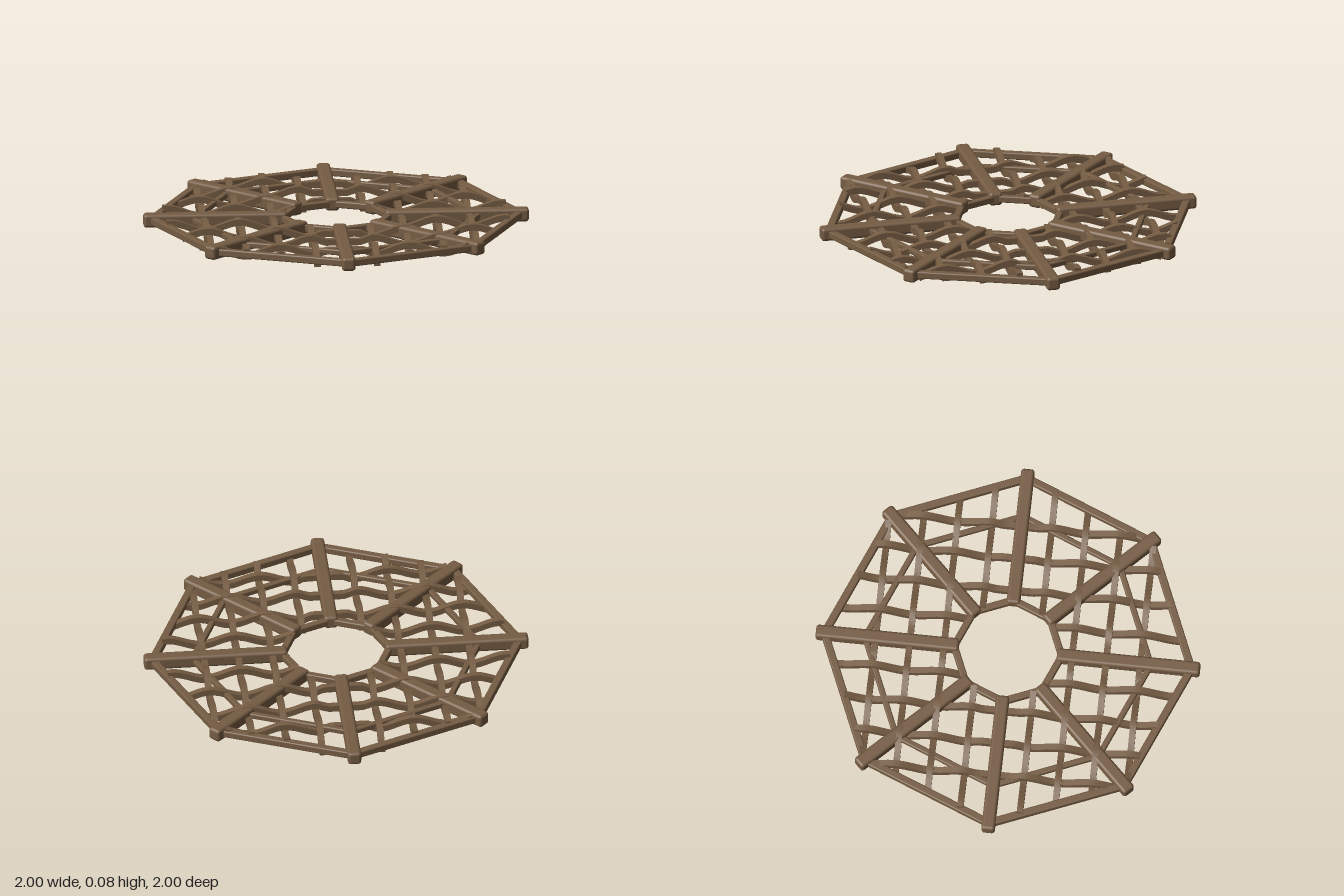
import * as THREE from 'three';
import { RoundedBoxGeometry } from 'three/addons/geometries/RoundedBoxGeometry.js';

const MID = 0.04;            // height of the centre plane
const RIM = 0.955;           // corner radius of the outer rim
const FIRST = 0.155;         // offset of the first lattice slat
const PITCH = 0.178;         // spacing between slats
const SLATS = 4;             // slats on each side of the centre

export function createModel() {
  const model = new THREE.Group();
  const wood = new THREE.MeshStandardMaterial({ color: 0x755c43 });
  wood.name = 'brown wood';

  const add = (name, geometry) => {
    const mesh = new THREE.Mesh(geometry, wood);
    mesh.name = name;
    model.add(mesh);
    return mesh;
  };

  // Eight heavy radial spokes
  for (let i = 0; i < 8; i++) {
    const a = (i * Math.PI) / 4;
    const spoke = add('spoke', new RoundedBoxGeometry(0.745, 0.07, 0.07, 3, 0.016));
    spoke.position.set(Math.cos(a) * 0.6275, MID, Math.sin(a) * 0.6275);
    spoke.rotation.y = -a;
  }

  // Octagonal rings of straight rails joining the spokes
  const ring = (name, radius, width, height) => {
    const length = 2 * radius * Math.sin(Math.PI / 8);
    const apothem = radius * Math.cos(Math.PI / 8);
    for (let i = 0; i < 8; i++) {
      const a = ((i + 0.5) * Math.PI) / 4;
      const rail = add(name, new RoundedBoxGeometry(width, height, length, 2, 0.007));
      rail.position.set(Math.cos(a) * apothem, MID, Math.sin(a) * apothem);
      rail.rotation.y = -a;
    }
  };
  ring('outerRail', RIM, 0.04, 0.038);
  ring('middleRail', 0.745, 0.03, 0.03);
  ring('innerRail', 0.28, 0.036, 0.036);

  // Half length of a slat that ends on the octagonal rim
  const reach = (offset) => {
    const t = Math.tan(Math.PI / 8);
    const corner = RIM * Math.SQRT1_2;
    return offset < corner ? RIM - t * offset : (RIM - offset) / t;
  };

  // Over-and-under height of a woven slat at distance u along it
  const weave = (u, sign) => {
    const d = Math.abs(u);
    const fade = THREE.MathUtils.smoothstep(d, 0.09, FIRST);
    const step = Math.max(0, (d - FIRST) / PITCH);
    return 0.022 * sign * fade * Math.cos(Math.PI * step);
  };

  // One slat along x from u0 to u1 (or along z when turned)
  const slat = (name, offset, u0, u1, sign, alongZ) => {
    const segments = Math.ceil((u1 - u0) / 0.03);
    const g = new THREE.BoxGeometry(u1 - u0, 0.034, 0.033, segments, 1, 1);
    g.translate((u0 + u1) / 2, MID, offset);
    const p = g.attributes.position;
    for (let i = 0; i < p.count; i++) p.setY(i, p.getY(i) + weave(p.getX(i), sign));
    g.computeVertexNormals();
    if (alongZ) g.rotateY(Math.PI / 2);
    add(name, g);
  };

  // Woven lattice, the innermost slats stopping at the central opening
  for (const alongZ of [false, true]) {
    const name = alongZ ? 'lengthwiseSlat' : 'crosswiseSlat';
    for (let i = 0; i < SLATS; i++) {
      const offset = FIRST + i * PITCH;
      const end = reach(offset);
      const sign = (i % 2 ? -1 : 1) * (alongZ ? -1 : 1);
      for (const side of [-1, 1]) {
        if (i === 0) {
          slat(name, side * offset, -end, -0.215, sign, alongZ);
          slat(name, side * offset, 0.215, end, sign, alongZ);
        } else {
          slat(name, side * offset, -end, end, sign, alongZ);
        }
      }
    }
  }
  return model;
}
